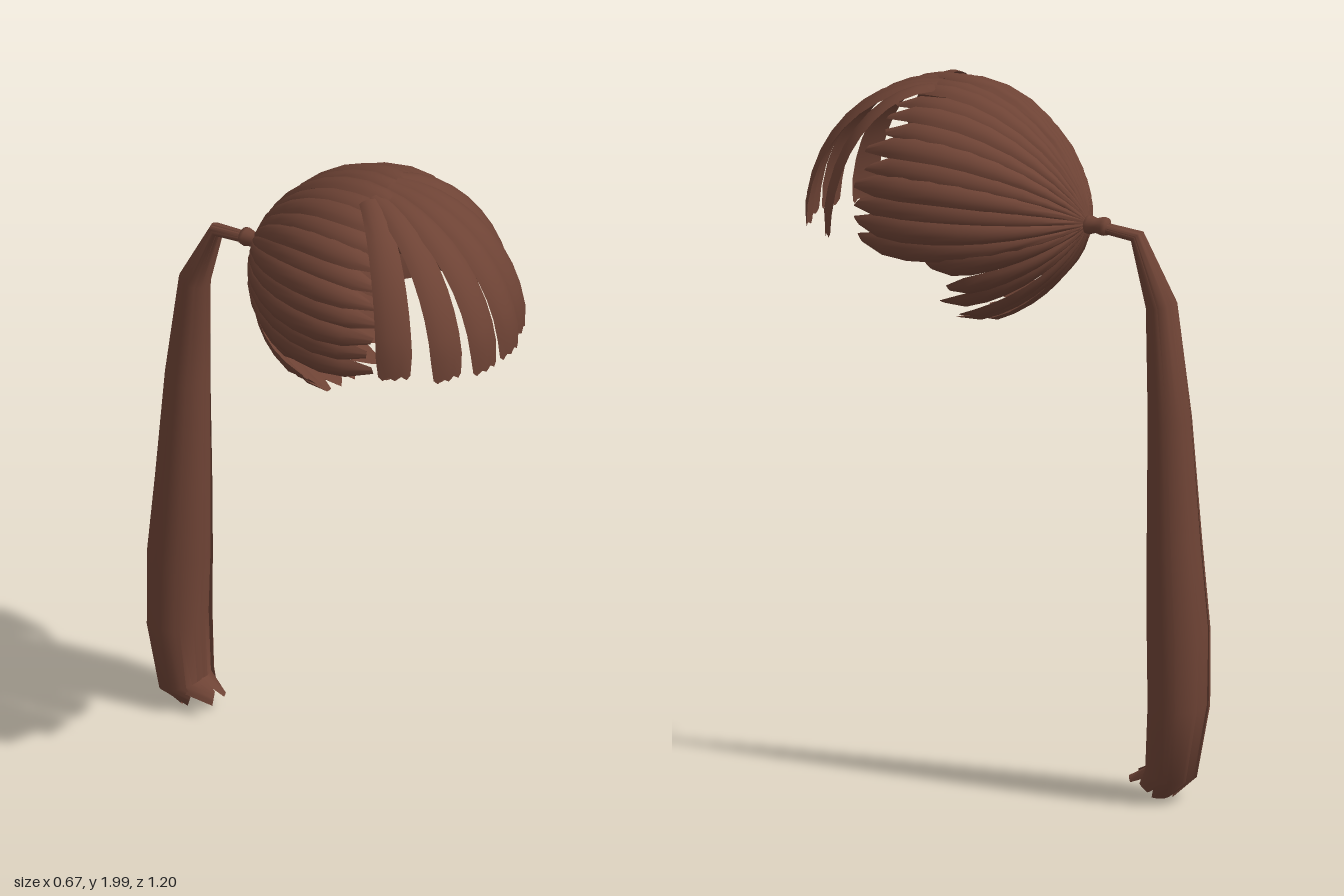
import * as THREE from 'three';
import { toCreasedNormals } from 'three/addons/utils/BufferGeometryUtils.js';

const V = (x, y, z) => new THREE.Vector3(x, y, z);
const rad = THREE.MathUtils.degToRad;

function seeded(seed) {
  return () => {
    seed = (seed * 16807) % 2147483647;
    return seed / 2147483647;
  };
}

// Cross-section of a lock: domed outside, nearly flat inside, as [across, up]
const SECTION = [[-1, 0], [-0.75, 0.5], [-0.4, 0.87], [0, 1], [0.4, 0.87], [0.75, 0.5], [1, 0], [0.5, -0.15], [-0.5, -0.15]];

// Sweeps the section along rows of { p: centre, out: outward hint, w: half width, b: bulge }
function lockGeometry(rows, { roll = 0, jag = () => 0 } = {}) {
  const pos = [], index = [], n = SECTION.length;
  rows.forEach((row, i) => {
    const t = rows[Math.min(i + 1, rows.length - 1)].p.clone().sub(rows[Math.max(i - 1, 0)].p).normalize();
    const side = t.clone().cross(row.out).normalize().applyAxisAngle(t, roll);
    const up = side.clone().cross(t);
    const last = i === rows.length - 1;
    SECTION.forEach(([u, v], j) => {
      const q = row.p.clone().addScaledVector(side, u * row.w).addScaledVector(up, v * row.b);
      if (last) q.addScaledVector(t, jag(u, j));
      pos.push(q.x, q.y, q.z);
      if (last) return;
      const a = i * n + j, b = i * n + (j + 1) % n;
      index.push(a, b, a + n, b, b + n, a + n);
    });
  });
  const g = new THREE.BufferGeometry();
  g.setAttribute('position', new THREE.Float32BufferAttribute(pos, 3));
  g.setIndex(index);
  return toCreasedNormals(g, 0.9);
}

export function createModel() {
  const model = new THREE.Group();
  model.name = 'ponytailHair';
  const brown = new THREE.MeshStandardMaterial({ color: 0x6e4335, side: THREE.DoubleSide });
  brown.name = 'brown hair';
  const rand = seeded(4271);

  const group = (name) => {
    const g = new THREE.Group();
    g.name = name;
    model.add(g);
    return g;
  };
  const add = (parent, name, geometry) => {
    const m = new THREE.Mesh(geometry, brown);
    m.name = name;
    parent.add(m);
    return m;
  };

  // Locks that run over the head from the tie towards the face
  function headLock(parent, name, phiDeg, endDeg, halfWidth, lift, roll) {
    const phi = rad(phiDeg), rows = [], steps = 10;
    const out = V(Math.cos(phi), Math.sin(phi), 0);
    for (let i = 0; i <= steps; i++) {
      const t = i / steps;
      const a = rad(3 + (endDeg - 3) * t);
      const r = Math.sin(a) ** 1.4;
      const tip = t === 1 ? 0.3 : t > 0.85 ? 0.85 : 1;
      rows.push({
        p: V(0.015 * (1 - r) + out.x * 0.316 * r * lift, 1.63 + 0.02 * r + out.y * 0.335 * r * lift, 0.18 - 0.42 * Math.cos(a)),
        out,
        w: Math.max(0.012, halfWidth * r) * tip,
        b: (0.006 + 0.012 * r) * (t === 1 ? 0.15 : 1),
      });
    }
    const slant = (rand() - 0.5) * 0.03;
    add(parent, name, lockGeometry(rows, { roll, jag: (u) => u * slant }));
  }

  const cap = group('headLocks');
  const upper = 22;
  for (let i = 0; i < upper; i++) {
    const phi = -12 + (204 * i) / (upper - 1);
    const end = 114 - 9 * Math.max(0, Math.sin(rad(phi))) + (rand() - 0.5) * 6;
    headLock(cap, 'upperLock', phi, end, 0.04, i % 2 ? 1 : 0.98, phi < 90 ? 0.18 : -0.18);
  }
  const nape = group('napeLocks');
  const lower = 11;
  for (let i = 0; i < lower; i++) {
    const phi = -158 + (136 * i) / (lower - 1);
    headLock(nape, 'napeLock', phi, 75 + rand() * 7, 0.05, i % 2 ? 1 : 0.97, phi < -90 ? 0.15 : -0.15);
  }

  // Fringe: six broad locks fanning forward and down, root x then end x and z
  const fringe = group('fringe');
  [[-0.075, -0.25, 0.41], [-0.05, -0.165, 0.53], [-0.02, -0.065, 0.585], [0.02, 0.045, 0.588], [0.05, 0.145, 0.55], [0.075, 0.235, 0.45]]
    .forEach(([x0, x1, z1], k) => {
      const rows = [], z0 = 0.2;
      const out = V(x1 - x0, 0.25, z1 - z0).normalize();
      for (let i = 0; i <= 10; i++) {
        const t = i / 10, a = t * Math.PI / 2, s = Math.sin(a);
        rows.push({
          p: V(x0 + (x1 - x0) * s, 1.575 + 0.405 * Math.cos(a), z0 + (z1 - z0) * s),
          out,
          w: 0.032 + 0.02 * s - (t === 1 ? 0.006 : 0),
          b: t === 1 ? 0.006 : 0.014,
        });
      }
      add(fringe, 'fringeLock', lockGeometry(rows, { jag: (u, j) => (j % 2 ? 0.008 : -0.004) + u * (k - 2.5) * 0.002 }));
    });

  // Band of hair round the root of the ponytail
  const tie = add(model, 'hairTie', new THREE.LatheGeometry(
    [[0.012, -0.04], [0.024, -0.036], [0.027, -0.02], [0.021, 0], [0.027, 0.022], [0.024, 0.034], [0.012, 0.038]]
      .map(([r, y]) => new THREE.Vector2(r, y)), 12));
  tie.rotation.x = -Math.PI / 2;
  tie.position.set(0.017, 1.627, -0.27);

  // Ponytail spine: y, z, half width, half depth
  const spine = [
    [1.625, -0.28, 0.015, 0.012], [1.61, -0.395, 0.02, 0.018], [1.42, -0.47, 0.042, 0.04], [1.1, -0.495, 0.062, 0.055],
    [0.75, -0.51, 0.082, 0.065], [0.5, -0.523, 0.095, 0.074], [0.29, -0.525, 0.1, 0.066], [0.09, -0.5, 0.085, 0.055], [0.025, -0.465, 0.06, 0.04],
  ];
  const tail = group('ponytail');
  const tailLocks = 7;
  for (let k = 0; k < tailLocks; k++) {
    const a = (k / tailLocks) * Math.PI * 2 + 0.3;
    const forward = Math.max(0, Math.sin(a));
    const rise = rand() * 0.025;
    const rows = spine.map(([y, z, hx, hz], i) => {
      const next = spine[Math.min(i + 1, spine.length - 1)], prev = spine[Math.max(i - 1, 0)];
      const dy = next[0] - prev[0], dz = next[1] - prev[1], len = Math.hypot(dy, dz);
      const front = V(0, dz / len, -dy / len);
      const out = V(Math.cos(a), 0, 0).addScaledVector(front, Math.sin(a));
      const last = i === spine.length - 1;
      const p = V(0.018 + Math.cos(a) * hx * 0.86, y, z).addScaledVector(front, Math.sin(a) * hz * 0.86);
      // Front tips flick towards the neck
      if (last) p.add(V(0, rise + forward * 0.012, forward * 0.06));
      return { p, out, w: (hx + hz) * 0.31 * (last ? 0.6 : 1), b: last ? 0.003 : 0.003 + hx * 0.16 };
    });
    add(tail, 'tailLock', lockGeometry(rows, { jag: (u) => u * 0.008 }));
  }

  return model;
}
